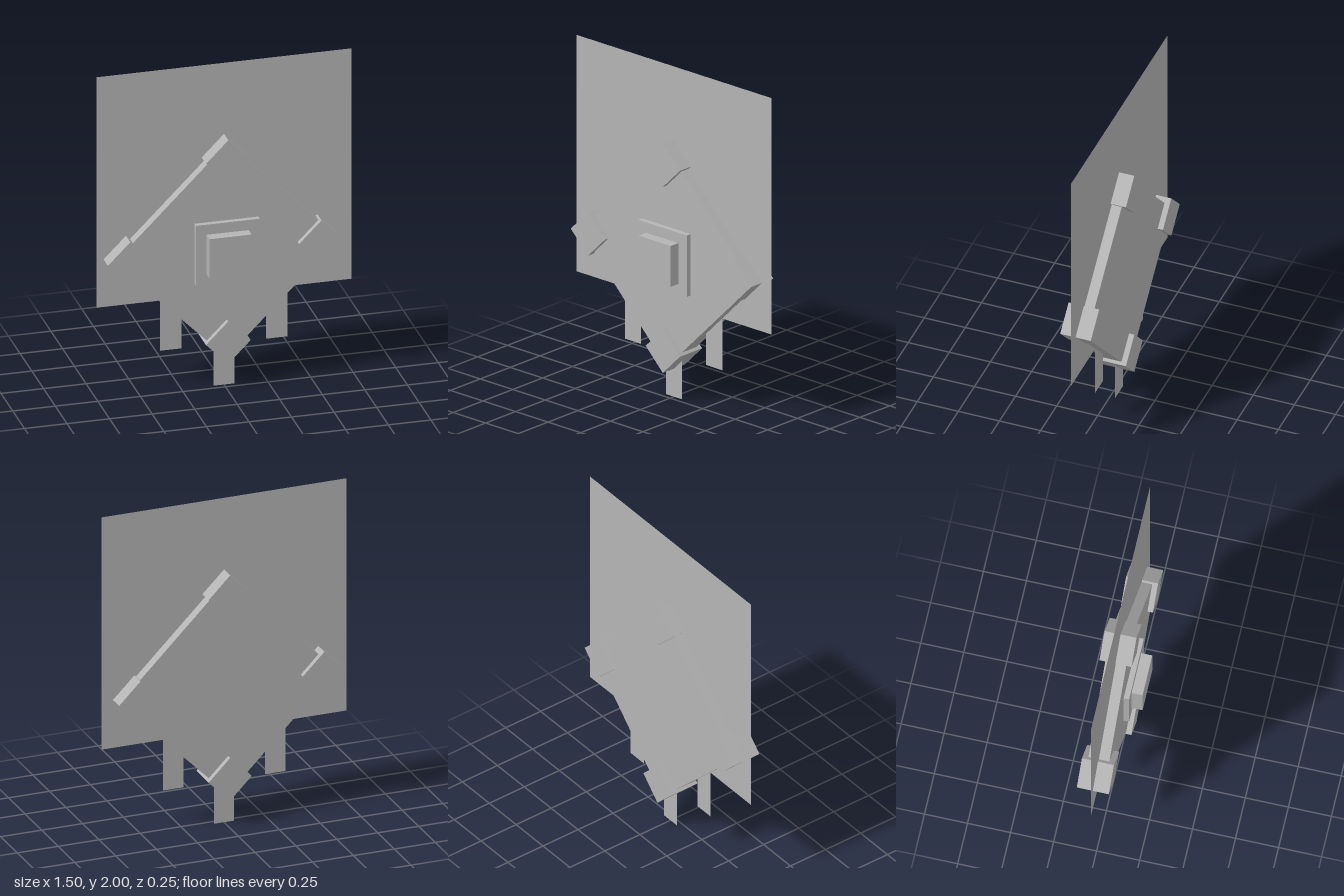
import * as THREE from 'three';

export function createModel() {
  const group = new THREE.Group();
  const grey = new THREE.MeshStandardMaterial({ color: 0xb4b4b4, side: THREE.DoubleSide });
  grey.name = 'grey';

  const MID_Z = -0.032; // shared middle plane of the sheet, slab and corner blocks
  const MID_Y = 0.863;

  function add(name, geometry, x, y, z, turn = 0) {
    const mesh = new THREE.Mesh(geometry, grey);
    mesh.name = name;
    mesh.position.set(x, y, z);
    mesh.rotation.z = turn;
    group.add(mesh);
  }

  // Thin sheet through the middle, with three tabs hanging below it
  add('sheet', new THREE.PlaneGeometry(1.5, 1.432), 0, 1.284, MID_Z);
  for (const [x, bottom] of [[-0.313, 0.255], [0, 0], [0.31, 0.255]]) {
    add('tab', new THREE.PlaneGeometry(0.124, 0.568 - bottom), x, (0.568 + bottom) / 2, MID_Z);
  }

  // Square slab standing on its corner
  add('slab', new THREE.BoxGeometry(0.938, 0.938, 0.122), 0, 0.86, MID_Z, Math.PI / 4);

  // Cube at each corner of the slab
  for (const [x, y] of [[0, 1.427], [0, 0.301], [-0.576, MID_Y], [0.547, MID_Y]]) {
    add('cornerBlock', new THREE.BoxGeometry(0.186, 0.186, 0.186), x, y, MID_Z, Math.PI / 4);
  }

  // Stepped boss on the front face
  add('bossBase', new THREE.BoxGeometry(0.375, 0.372, 0.034), -0.003, MID_Y, 0.044);
  add('bossTop', new THREE.BoxGeometry(0.247, 0.247, 0.068), -0.004, MID_Y, 0.091);

  return group;
}
